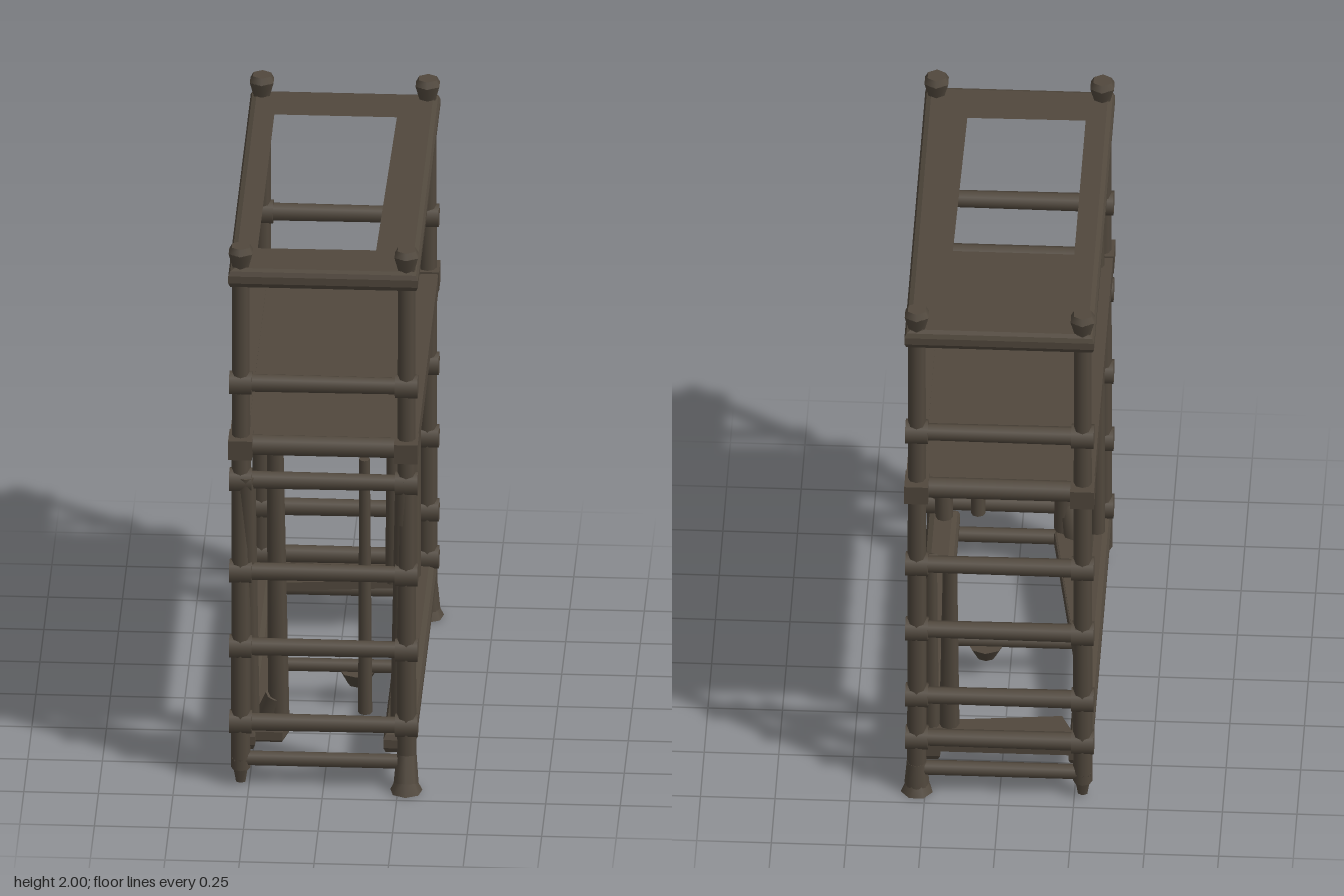
import * as THREE from 'three';

const UP = new THREE.Vector3(0, 1, 0);

export function createModel() {
  const root = new THREE.Group();
  root.name = 'scaffold';
  const iron = new THREE.MeshStandardMaterial({ color: 0x51483d });
  iron.name = 'dark brown iron';

  const add = (name, geo, x = 0, y = 0, z = 0) => {
    const m = new THREE.Mesh(geo, iron);
    m.name = name;
    m.position.set(x, y, z);
    root.add(m);
    return m;
  };
  const box = (name, w, h, d, x, y, z) => add(name, new THREE.BoxGeometry(w, h, d), x, y, z);
  // round bar between two points, r0 at the start and r1 at the end
  const bar = (name, a, b, r0, r1 = r0, sides = 8) => {
    const p = new THREE.Vector3(...a), q = new THREE.Vector3(...b);
    const d = q.clone().sub(p);
    const m = add(name, new THREE.CylinderGeometry(r1, r0, d.length(), sides));
    m.position.copy(p).addScaledVector(d, 0.5);
    m.quaternion.setFromUnitVectors(UP, d.normalize());
    return m;
  };
  // horizontal slab from an x/z outline with an optional hole
  const slab = (name, outline, hole, y, h, bevel) => {
    const pts = (l) => l.map(([x, z]) => new THREE.Vector2(x, -z));
    const s = new THREE.Shape(pts(outline));
    if (hole) s.holes.push(new THREE.Path(pts(hole)));
    const g = new THREE.ExtrudeGeometry(s, {
      depth: h - 2 * bevel, bevelEnabled: bevel > 0, bevelSize: bevel,
      bevelThickness: bevel, bevelOffset: -bevel, bevelSegments: 2,
    });
    g.rotateX(-Math.PI / 2);
    return add(name, g, 0, y + bevel, 0);
  };
  const rect = (x0, x1, z0, z1) => [[x0, z0], [x1, z0], [x1, z1], [x0, z1]];

  // corner posts with flared caps and feet
  const front = 0.645, back = -0.675, px = 0.278;
  for (const x of [-px, px]) for (const z of [front, back]) {
    bar('post', [x, 0.06, z], [x, 1.95, z], 0.033, 0.029);
    add('postCap', new THREE.CylinderGeometry(0.046, 0.03, 0.055, 6), x, 1.95, z);
    add('postCapTop', new THREE.CylinderGeometry(0.034, 0.046, 0.022, 6), x, 1.988, z);
    if (x > 0) {
      const dz = z > 0 ? 0.03 : 0;
      bar('footStem', [x, 0.03, z + dz], [x, 0.12, z], 0.042, 0.034);
      add('footPlate', new THREE.CylinderGeometry(0.032, 0.055, 0.05, 7), x, 0.025, z + dz);
    } else {
      add('footPin', new THREE.CylinderGeometry(0.034, 0.018, 0.09, 6), x, 0.055, z);
    }
  }

  // ladder rungs with clamps on both end frames
  const rungs = [
    [front, [1.49, 1.13, 0.79, 0.51, 0.23]],
    [back, [1.49, 0.94, 0.67, 0.395, 0.22]],
  ];
  for (const [z, heights] of rungs) for (const y of heights) {
    bar('rung', [-0.3, y, z], [0.3, y, z], 0.032, 0.029);
    for (const x of [-px, px]) {
      const c = add('clamp', new THREE.CylinderGeometry(0.042, 0.042, 0.076, 8), x, y, z);
      c.rotation.z = Math.PI / 2;
    }
  }
  for (const z of [front, back]) bar('lowTie', [-0.3, 0.095, z], [0.3, 0.095, z], 0.026);

  // guard frame at the top
  slab('guardFrame', rect(-0.318, 0.318, -0.715, 0.69),
    [[-0.25, -0.54], [0.205, -0.54], [0.19, 0.53], [-0.25, 0.535]], 1.857, 0.07, 0.022);

  // working deck with edge rails
  box('deck', 0.58, 0.03, 1.32, 0, 1.272, -0.015);
  for (const x of [-0.285, 0.285]) box('deckRail', 0.06, 0.07, 1.36, x, 1.255, -0.015);
  for (const z of [front, back]) {
    bar('deckEndRail', [-0.31, 1.26, z], [0.31, 1.26, z], 0.036);
    for (const x of [-px, px]) box('deckClamp', 0.08, 0.07, 0.095, x, 1.262, z + 0.008 * Math.sign(z));
  }

  // base rails, end plate and middle tie
  slab('baseRailLeft', rect(0.2, 0.308, -0.68, 0.65), null, 0.12, 0.08, 0.025);
  slab('baseRailRight', rect(-0.308, -0.23, -0.68, 0.65), null, 0.12, 0.08, 0.025);
  slab('basePlateBack', [[-0.28, -0.68], [0.28, -0.68], [0.28, -0.55], [-0.2, -0.5]], null, 0.165, 0.03, 0);
  slab('basePlank', [[-0.27, -0.45], [-0.12, 0.54], [-0.14, 0.62], [-0.27, 0.62]], null, 0.14, 0.05, 0.01);
  bar('middleTie', [-0.27, 0.135, 0], [0.27, 0.135, 0], 0.024);
  add('middleKnob', new THREE.CylinderGeometry(0.062, 0.034, 0.05, 8), 0.08, 0.095, 0);

  // loose poles leaning inside the front frame
  bar('tallPole', [-0.265, 0.17, 0.545], [-0.27, 1.45, 0.567], 0.027, 0.018);
  bar('poleHeel', [-0.2, 0.17, 0.54], [-0.165, 0.3, 0.575], 0.05, 0.034);
  bar('frontPole', [-0.155, 0.19, 0.565], [-0.165, 1.25, 0.61], 0.036, 0.028);
  bar('frontPole', [0.135, 0.24, 0.57], [0.135, 1.2, 0.61], 0.024, 0.018);
  bar('frontBrace', [-0.25, 0.18, 0.58], [-0.26, 1.15, 0.655], 0.032);
  bar('frontBrace', [0.25, 0.18, 0.6], [0.27, 1.15, 0.65], 0.03);

  // poles leaning on the back frame
  bar('backPole', [0.175, 0.18, -0.56], [0.17, 0.89, -0.615], 0.034, 0.024);
  bar('backPole', [0.235, 0.18, -0.57], [0.235, 0.92, -0.63], 0.026, 0.022);
  bar('backPoleHook', [0.22, 0.92, -0.625], [0.278, 0.94, -0.675], 0.026);

  return root;
}
